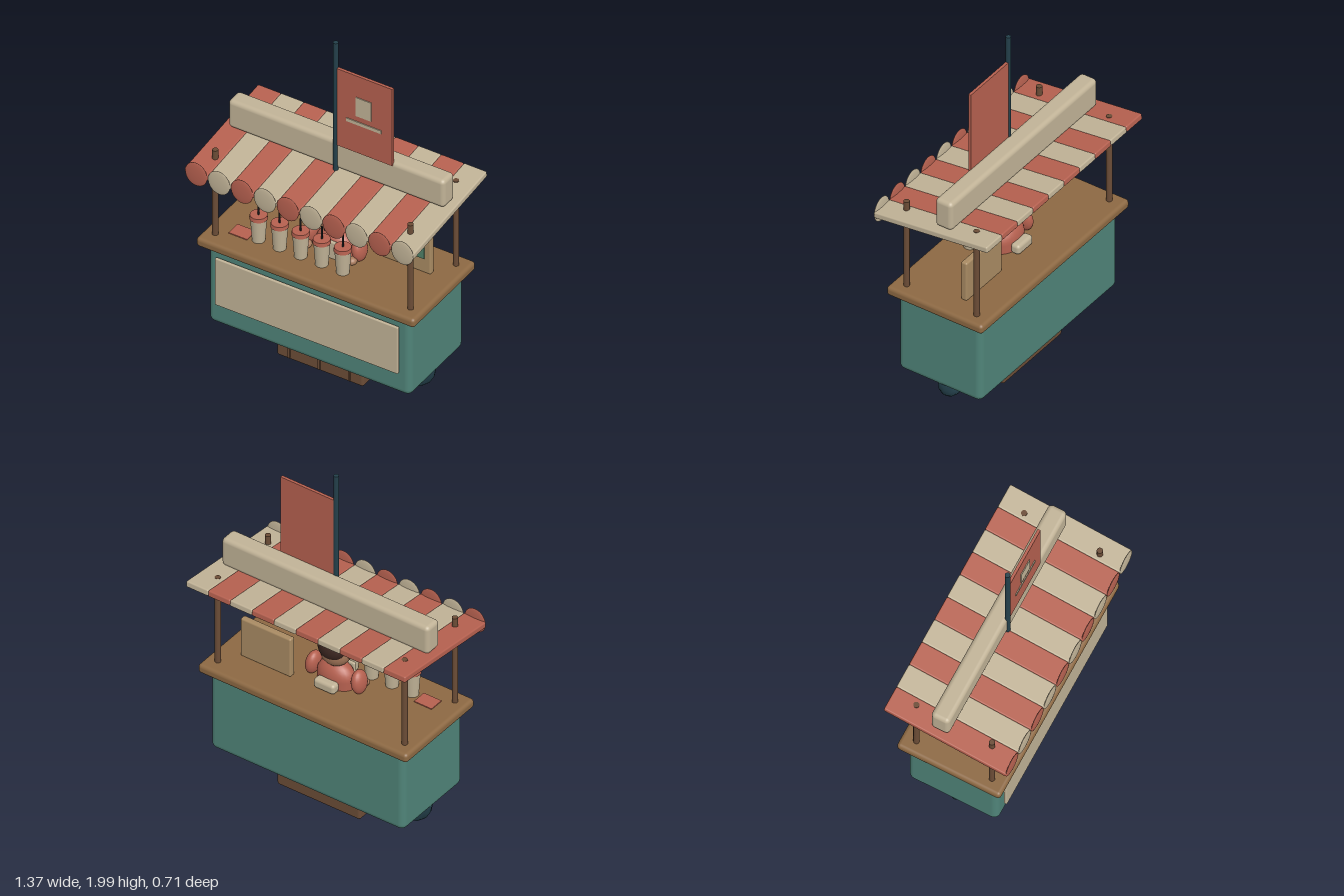
import * as THREE from 'three';
import { RoundedBoxGeometry } from 'three/addons/geometries/RoundedBoxGeometry.js';

const RED = 0xb5604f, CREAM = 0xc0b296, TEAL = 0x4f8378, WOOD = 0x8c6842, DARKWOOD = 0x6b4c36;
const DARK = 0x233f4a, SKIN = 0xa87a5c, HAIR = 0x3b2620, TAN = 0xa88a62, BLACK = 0x1c1c1e;

const mats = {};
const mat = (c) => (mats[c] ??= new THREE.MeshStandardMaterial({ color: c }));

function add(parent, name, geo, color, x = 0, y = 0, z = 0) {
  const m = new THREE.Mesh(geo, mat(color));
  m.name = name;
  m.position.set(x, y, z);
  parent.add(m);
  return m;
}
function group(parent, name, x = 0, y = 0, z = 0) {
  const g = new THREE.Group();
  g.name = name;
  g.position.set(x, y, z);
  parent.add(g);
  return g;
}
// Box given by its limits, rounded when r > 0
function block(parent, name, color, [x0, x1], [y0, y1], [z0, z1], r = 0) {
  const s = [x1 - x0, y1 - y0, z1 - z0];
  const geo = r ? new RoundedBoxGeometry(...s, 3, r) : new THREE.BoxGeometry(...s);
  return add(parent, name, geo, color, (x0 + x1) / 2, (y0 + y1) / 2, (z0 + z1) / 2);
}
function rod(parent, name, color, r, y0, y1, x, z, rTop = r) {
  return add(parent, name, new THREE.CylinderGeometry(rTop, r, y1 - y0, 16), color, x, (y0 + y1) / 2, z);
}
function ball(parent, name, color, rx, ry, rz, x, y, z) {
  const m = add(parent, name, new THREE.SphereGeometry(1, 24, 16), color, x, y, z);
  m.scale.set(rx, ry, rz);
  return m;
}

function buildCart(root) {
  const g = group(root, 'cart');
  block(g, 'body', TEAL, [-0.605, 0.605], [0.15, 0.635], [-0.258, 0.255], 0.035);
  block(g, 'counter', WOOD, [-0.653, 0.653], [0.63, 0.685], [-0.298, 0.295], 0.02);
  block(g, 'frontPanel', CREAM, [-0.548, 0.546], [0.29, 0.585], [0.262, 0.28], 0.006);
  block(g, 'lowerCrate', DARKWOOD, [-0.26, 0.26], [0.008, 0.175], [-0.157, 0.152], 0.015);
  for (const x of [-0.18, 0, 0.18])
    block(g, 'crateSlat', DARKWOOD, [x - 0.005, x + 0.005], [0.025, 0.16], [0.15, 0.163]);

  // Wheels facing front and back
  for (const s of [-1, 1]) {
    const w = group(g, 'wheel', s * 0.447, 0.162, 0);
    add(w, 'tyre', new THREE.TorusGeometry(0.12, 0.03, 10, 18), DARK);
    add(w, 'wheelDisc', new THREE.CylinderGeometry(0.102, 0.102, 0.036, 24), TAN).rotation.x = Math.PI / 2;
    add(w, 'hub', new THREE.CylinderGeometry(0.03, 0.03, 0.06, 16), DARK).rotation.x = Math.PI / 2;
  }
}

function buildCanopy(root) {
  for (const x of [-0.585, 0.583])
    for (const z of [0.215, -0.218]) rod(root, 'canopyPost', DARKWOOD, 0.016, 0.67, 1.222, x, z);

  // Striped sloping roof
  const n = 10, w = 0.137;
  const roof = group(root, 'canopyRoof', 0, 1.176, -0.003);
  roof.rotation.x = 0.115;
  for (let i = 0; i < n; i++) {
    const color = i % 2 ? CREAM : RED, x = (i - (n - 1) / 2) * w;
    add(roof, 'roofStripe', new RoundedBoxGeometry(w, 0.036, 0.705, 2, 0.008), color, x);
    ball(root, 'valanceScallop', color, 0.066, 0.072, 0.009, x, 1.136, 0.346);
  }
  block(root, 'signBox', CREAM, [-0.648, 0.646], [1.2, 1.372], [-0.105, -0.001], 0.024);

  // Pole and hanging banner
  rod(root, 'flagPole', DARK, 0.014, 0.9, 2, -0.002, -0.004);
  const b = group(root, 'banner');
  block(b, 'bannerCloth', RED, [0.01, 0.34], [1.355, 1.842], [-0.012, 0.004]);
  block(b, 'bannerSquare', CREAM, [0.125, 0.217], [1.59, 1.708], [0.002, 0.009]);
  block(b, 'bannerStripe', CREAM, [0.068, 0.276], [1.535, 1.555], [0.002, 0.009]);
}

function buildCounterItems(root) {
  // Drinks with lids and straws
  for (let i = 0; i < 5; i++) {
    const c = group(root, 'drink', -0.373 + i * 0.126, 0.683, 0.14);
    rod(c, 'cup', CREAM, 0.034, 0, 0.146, 0, 0, 0.044);
    rod(c, 'lid', RED, 0.048, 0.142, 0.164, 0, 0, 0.045);
    rod(c, 'straw', BLACK, 0.005, 0.15, 0.24, 0, 0);
  }
  block(root, 'napkin', RED, [-0.53, -0.42], [0.684, 0.69], [0.09, 0.175]);

  // Menu board with three pictures
  const m = group(root, 'menuBoard');
  block(m, 'board', TAN, [0.206, 0.52], [0.683, 0.922], [-0.112, -0.075], 0.01);
  [0x5f8fa3, 0xb8805a, 0x4f8068].forEach((c, i) => {
    const x = 0.278 + i * 0.085;
    block(m, 'menuPicture', c, [x - 0.037, x + 0.037], [0.775, 0.882], [-0.078, -0.069]);
  });
}

function buildVendor(root) {
  const v = group(root, 'vendor');
  const torso = add(v, 'torso', new THREE.CapsuleGeometry(0.1, 0.06, 8, 24), RED, 0, 0.705, 0);
  torso.scale.set(1.1, 0.92, 0.72);
  rod(v, 'neck', SKIN, 0.036, 0.78, 0.84, 0, 0);
  block(v, 'apronFront', CREAM, [-0.07, 0.07], [0.683, 0.79], [0.058, 0.078], 0.008);
  block(v, 'apronBack', CREAM, [-0.065, 0.065], [0.687, 0.745], [-0.115, -0.06], 0.018);

  // Head, hair and face
  ball(v, 'head', SKIN, 0.088, 0.098, 0.086, 0, 0.897, 0.002);
  const cap = new THREE.SphereGeometry(1, 28, 12, 0, Math.PI * 2, 0, Math.PI * 0.46);
  const hair = add(v, 'hair', cap, HAIR, 0, 0.932, -0.006);
  hair.material = new THREE.MeshStandardMaterial({ color: HAIR, side: THREE.DoubleSide });
  hair.scale.set(0.091, 0.081, 0.092);
  hair.rotation.x = -0.3;
  ball(v, 'hairBack', HAIR, 0.08, 0.068, 0.06, 0, 0.923, -0.036);
  ball(v, 'nose', SKIN, 0.012, 0.012, 0.014, 0, 0.886, 0.09);
  block(v, 'mouth', HAIR, [-0.02, 0.02], [0.849, 0.854], [0.074, 0.081]);
  for (const s of [-1, 1]) {
    ball(v, 'ear', SKIN, 0.014, 0.024, 0.018, s * 0.088, 0.89, 0);
    ball(v, 'eye', BLACK, 0.01, 0.013, 0.006, s * 0.038, 0.903, 0.08);
    block(v, 'eyebrow', HAIR, [s * 0.04 - 0.014, s * 0.04 + 0.014], [0.925, 0.931], [0.072, 0.08]);
    ball(v, 'cheek', RED, 0.012, 0.008, 0.006, s * 0.054, 0.872, 0.066);
    ball(v, 'arm', RED, 0.036, 0.068, 0.054, s * 0.143, 0.746, 0).rotation.z = s * 0.12;
    ball(v, 'hand', SKIN, 0.025, 0.022, 0.028, s * 0.135, 0.704, 0.056);
  }
}

export function createModel() {
  const root = new THREE.Group();
  root.name = 'drinkStall';
  buildCart(root);
  buildCanopy(root);
  buildCounterItems(root);
  buildVendor(root);
  return root;
}
